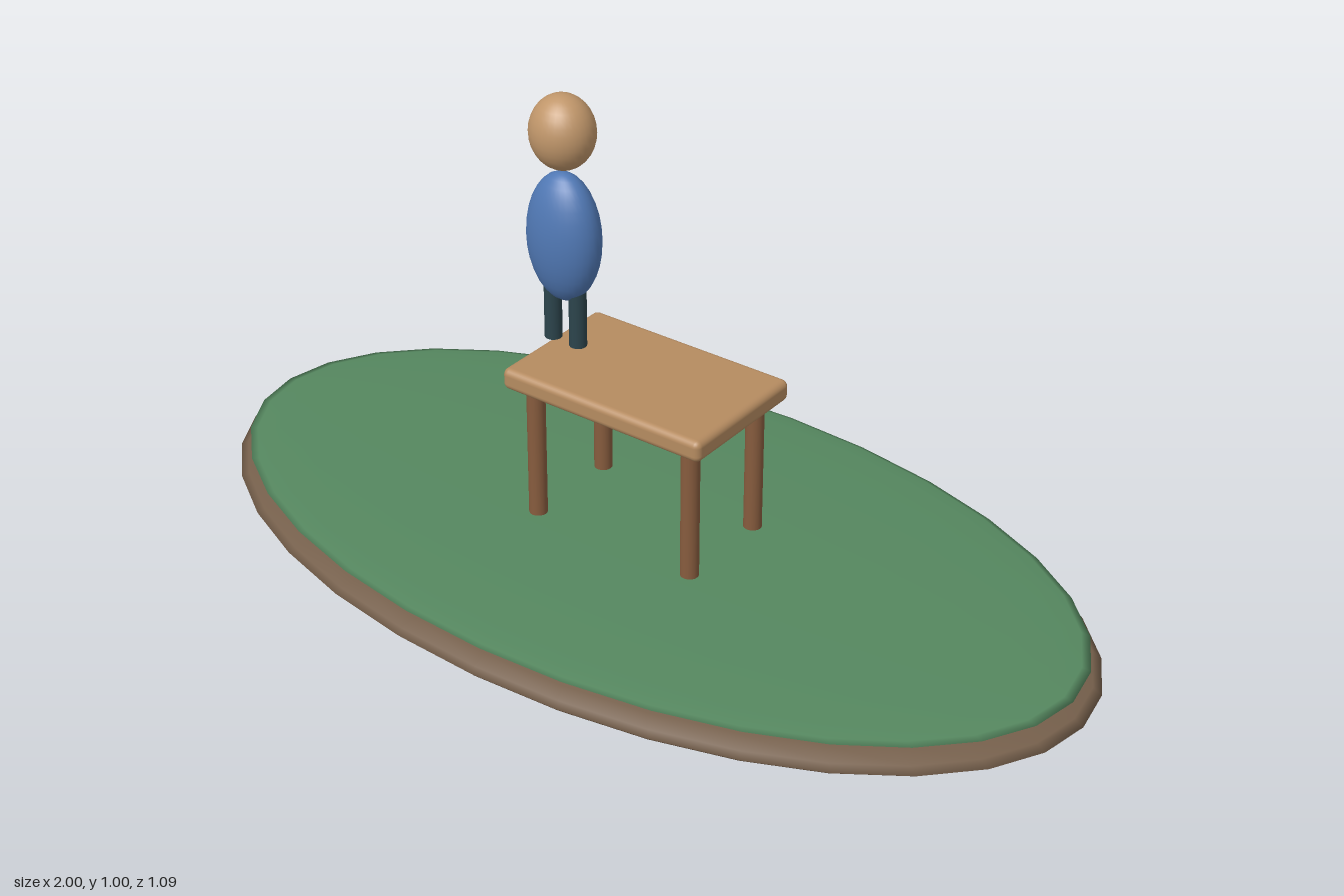
import * as THREE from 'three';
import { RoundedBoxGeometry } from 'three/addons/geometries/RoundedBoxGeometry.js';

const material = (name, color) => {
  const m = new THREE.MeshStandardMaterial({ color });
  m.name = name;
  return m;
};

export function createModel() {
  const earth = material('earth brown', 0x755f4b);
  const grass = material('grass green', 0x55875f);
  const tableWood = material('light wood', 0xb58b60);
  const legWood = material('dark wood', 0x875c3e);
  const skin = material('skin tan', 0xc0966a);
  const shirt = material('shirt blue', 0x5078b4);
  const trousers = material('trousers slate', 0x2c444c);

  const model = new THREE.Group();
  model.name = 'figureOnTable';

  const add = (parent, name, geometry, mat, x, y, z) => {
    const mesh = new THREE.Mesh(geometry, mat);
    mesh.name = name;
    mesh.position.set(x, y, z);
    parent.add(mesh);
    return mesh;
  };
  const ellipsoid = (rx, ry, rz) => new THREE.SphereGeometry(1, 32, 16).scale(rx, ry, rz);
  // Upright post between two heights
  const post = (parent, name, mat, r, x, y0, y1, z) =>
    add(parent, name, new THREE.CylinderGeometry(r, r, y1 - y0, 16), mat, x, (y0 + y1) / 2, z);

  // Flattened island with a grass cap
  add(model, 'earthBase', ellipsoid(1, 0.058, 0.545), earth, 0, 0.058, 0);
  add(model, 'grassCap', ellipsoid(0.975, 0.018, 0.522), grass, 0, 0.104, 0);

  // Table
  const table = new THREE.Group();
  table.name = 'table';
  model.add(table);
  add(table, 'tableTop', new RoundedBoxGeometry(0.475, 0.046, 0.304, 3, 0.014), tableWood, 0, 0.433, 0);
  for (const x of [-0.188, 0.188])
    for (const z of [-0.107, 0.107]) post(table, 'tableLeg', legWood, 0.019, x, 0.1, 0.42, z);

  // Standing figure at the right end of the table
  const figure = new THREE.Group();
  figure.name = 'figure';
  figure.position.x = -0.196;
  model.add(figure);
  for (const side of [-1, 1]) post(figure, 'leg', trousers, 0.018, side * 0.031, 0.465, 0.59, 0);
  add(figure, 'torso', ellipsoid(0.083, 0.138, 0.058), shirt, 0, 0.697, 0);
  add(figure, 'head', ellipsoid(0.068, 0.077, 0.063), skin, 0, 0.92, 0);

  return model;
}
